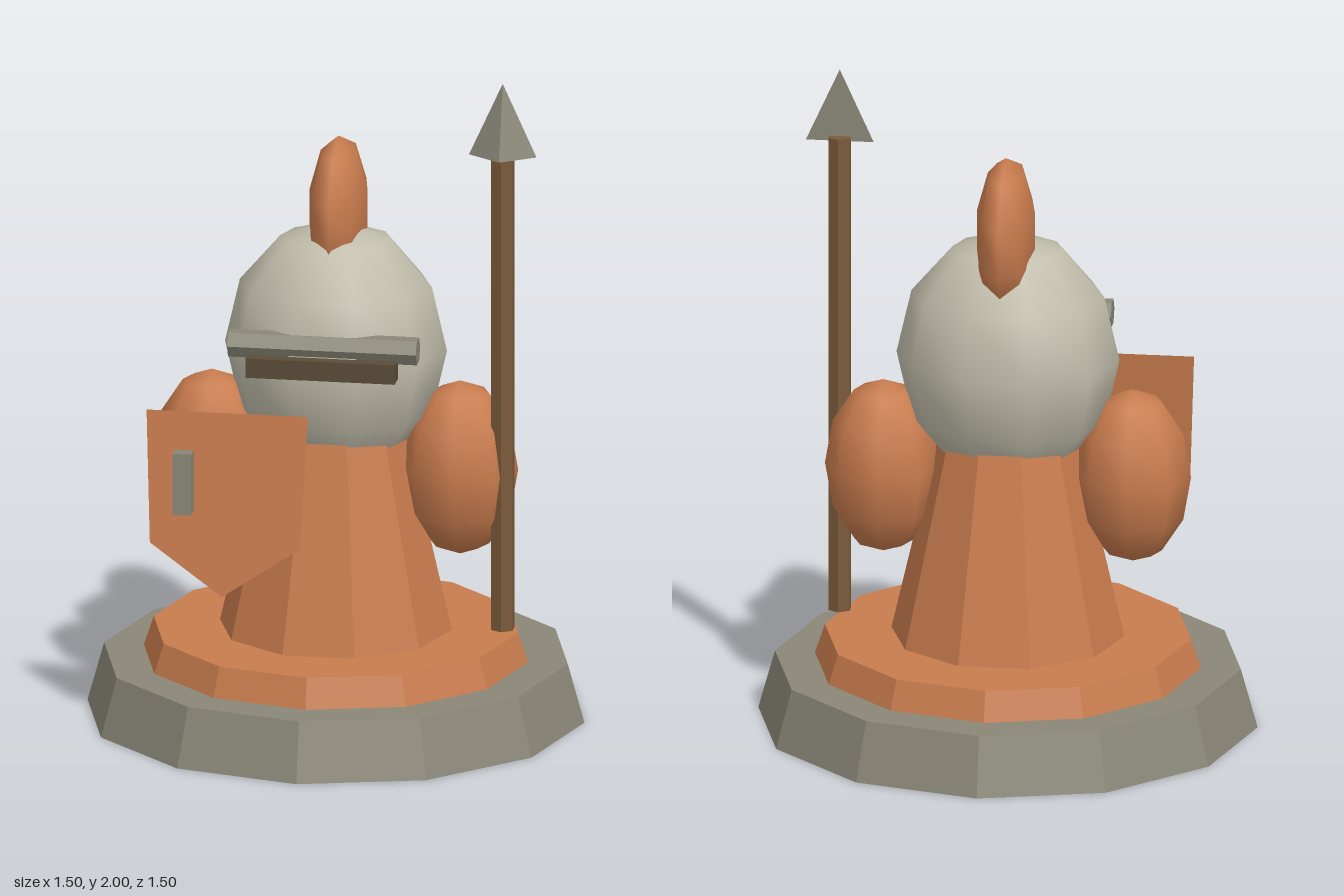
import * as THREE from 'three';

const mat = (color, flatShading = true, side = THREE.FrontSide) => {
  const m = new THREE.MeshStandardMaterial({ color, flatShading });
  m.side = side;
  return m;
};
const ORANGE = 0xc87b4d, STONE = 0x8a8778, HELM = 0xc0bcaa, WOOD = 0x7a5a3a, DARK = 0x5a4c38;

export function createModel() {
  const group = new THREE.Group();

  const add = (name, geometry, material, x = 0, y = 0, z = 0) => {
    const mesh = new THREE.Mesh(geometry, material);
    mesh.name = name;
    mesh.position.set(x, y, z);
    group.add(mesh);
    return mesh;
  };

  // Tapered prism standing between two heights
  const prism = (name, rTop, rBottom, y0, y1, sides, color, x = 0, z = 0) =>
    add(name, new THREE.CylinderGeometry(rTop, rBottom, y1 - y0, sides), mat(color), x, (y0 + y1) / 2, z);

  // Smooth low-poly ellipsoid
  const ellipsoid = (name, radii, segments, color, x, y, z) =>
    add(name, new THREE.SphereGeometry(1, ...segments).scale(...radii), mat(color, false), x, y, z);

  // Stepped base
  prism('base', 0.7, 0.75, 0, 0.18, 12, STONE);
  prism('baseTier', 0.55, 0.58, 0.18, 0.27, 12, ORANGE);

  // Robe, with a flat side facing front and back
  prism('body', 0.205, 0.35, 0.27, 0.9, 10, ORANGE).rotation.y = Math.PI / 2;

  // Helmet and plume
  ellipsoid('helmet', [0.335, 0.39, 0.285], [10, 6], HELM, 0, 1.14, 0);
  ellipsoid('plume', [0.092, 0.245, 0.203], [8, 5], ORANGE, 0, 1.535, -0.05);

  // Visor bar and eye slit
  const bar = new THREE.CylinderGeometry(0.043, 0.043, 0.57, 6).rotateZ(Math.PI / 2);
  add('visorBar', bar, mat(STONE), 0, 1.207, 0.234);
  add('visorSlit', new THREE.BoxGeometry(0.45, 0.06, 0.065), mat(DARK), 0, 1.15, 0.268);

  // Arms
  for (const [name, side] of [['leftArm', 1], ['rightArm', -1]]) {
    ellipsoid(name, [0.175, 0.27, 0.175], [8, 6], ORANGE, side * 0.375, 0.78, 0);
  }

  // Spear: hexagonal shaft and a three-sided tip with a flat back
  prism('spearShaft', 0.037, 0.037, 0.3, 1.79, 6, WOOD, 0.513, 0.06);
  const tip = new THREE.BufferGeometry();
  const a = [-0.102, 0, 0], b = [0.102, 0, 0], f = [0, 0, 0.07], top = [0, 0.225, 0];
  const faces = [a, f, top, f, b, top, b, a, top, a, b, f];
  tip.setAttribute('position', new THREE.Float32BufferAttribute(faces.flat(), 3));
  tip.computeVertexNormals();
  add('spearTip', tip, mat(STONE), 0.513, 1.775, 0.06);

  // Thin shield, leaning out towards its lower point
  const outline = [[-0.512, 1.03], [-0.495, 0.63], [-0.275, 0.475], [-0.042, 0.63], [-0.025, 1.03]];
  const sheet = new THREE.ShapeGeometry(new THREE.Shape(outline.map(p => new THREE.Vector2(...p))));
  const pos = sheet.attributes.position;
  for (let i = 0; i < pos.count; i++) pos.setZ(i, 0.375 + (1.03 - pos.getY(i)) * 0.112);
  sheet.computeVertexNormals();
  add('shield', sheet, mat(ORANGE, true, THREE.DoubleSide));
  add('shieldBoss', new THREE.BoxGeometry(0.057, 0.19, 0.045), mat(STONE), -0.393, 0.825, 0.432);

  return group;
}
